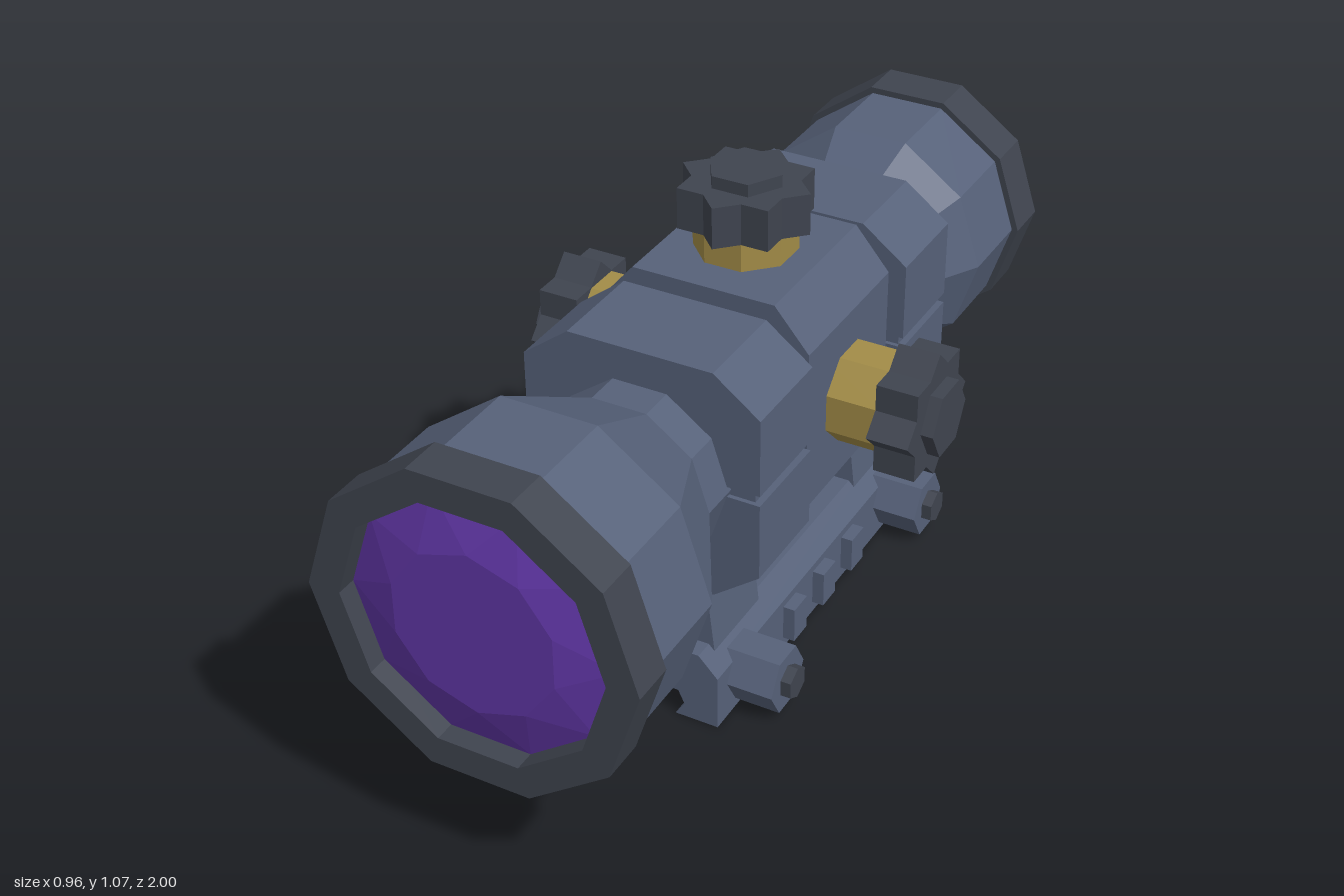
import * as THREE from 'three';
import { ConvexGeometry } from 'three/addons/geometries/ConvexGeometry.js';

const AXIS_Y = 0.595;   // height of the optical axis
const TURRET_Z = -0.08;

export function createModel() {
  const model = new THREE.Group();
  const paint = (name, color) => {
    const m = new THREE.MeshStandardMaterial({ color });
    m.name = name;
    return m;
  };
  const slate = paint('slate blue', 0x566179);
  const dark = paint('dark grey', 0x3f444f);
  const gold = paint('brass', 0xa28c47);
  const purple = paint('purple glass', 0x6036a5);

  // Faceted normals for every part
  function add(name, geometry, material, parent = model) {
    const g = geometry.index ? geometry.toNonIndexed() : geometry;
    g.computeVertexNormals();
    const mesh = new THREE.Mesh(g, material);
    mesh.name = name;
    parent.add(mesh);
    return mesh;
  }

  // Ten-sided turned part along z; profile of [radius, z] with z rising on the outside
  function turned(name, profile, material) {
    const g = new THREE.LatheGeometry(profile.map(p => new THREE.Vector2(...p)), 10, Math.PI / 2);
    g.rotateX(Math.PI / 2);
    add(name, g, material).position.y = AXIS_Y;
  }

  // Cross-section in x, y swept from z0 to z1
  function swept(points, z0, z1) {
    const shape = new THREE.Shape(points.map(p => new THREE.Vector2(...p)));
    return new THREE.ExtrudeGeometry(shape, { depth: z1 - z0, bevelEnabled: false }).translate(0, 0, z0);
  }
  // Completes the right half of a section with its mirror image
  const mirrored = half => [...half, ...half.slice().reverse().map(([x, y]) => [-x, y])];

  // Optical tube with flared ends
  turned('opticalTube', [
    [0.27, -0.92], [0.285, -0.89], [0.285, -0.69], [0.2, -0.54],
    [0.2, 0.45], [0.342, 0.7], [0.342, 0.905], [0.33, 0.92],
  ], slate);
  turned('frontRim', [[0.32, 0.905], [0.36, 0.905], [0.36, 1], [0.29, 1], [0.29, 0.93]], dark);
  turned('rearRim', [[0.235, -0.93], [0.235, -1], [0.3, -1], [0.3, -0.89], [0.26, -0.89]], dark);

  // Faceted domed lenses, inner ring turned by half a step
  function lens(name, radius, zEdge, dir) {
    const points = [];
    [[radius, 0, 0], [radius * 0.63, 0.5, 0.035]].forEach(([r, shift, bulge]) => {
      for (let i = 0; i < 10; i++) {
        const a = (i + shift) * Math.PI / 5;
        points.push(new THREE.Vector3(r * Math.cos(a), r * Math.sin(a), zEdge + dir * bulge));
      }
    });
    add(name, new ConvexGeometry(points), purple).position.y = AXIS_Y;
  }
  lens('frontLens', 0.291, 0.955, 1);
  lens('rearLens', 0.236, -0.95, -1);

  // Turret block in the middle
  add('turretBlock', swept(mirrored([[0.165, -0.285], [0.245, -0.19], [0.245, 0.19], [0.165, 0.285]]),
    -0.27, 0.11), slate).position.y = AXIS_Y;

  // Clamp rings in two halves with a thin seam, each on a leg
  for (const [z0, z1] of [[0.145, 0.37], [-0.527, -0.305]]) {
    const half = mirrored([[0.27, 0.012], [0.27, 0.19], [0.165, 0.27]]);
    add('upperClamp', swept(half, z0, z1), slate).position.y = AXIS_Y;
    add('lowerClamp', swept(half.map(([x, y]) => [x, -y]), z0, z1), slate).position.y = AXIS_Y;
    add('clampSeam', new THREE.BoxGeometry(0.51, 0.05, z1 - z0 - 0.02), slate)
      .position.set(0, AXIS_Y, (z0 + z1) / 2);
    add('mountLeg', swept(mirrored([[0.16, 0.15], [0.138, 0.34]]), z0 + 0.01, z1 - 0.015), slate);
  }

  // Rail base with a dovetail slot underneath, and a ridge between the legs
  add('railBase', swept(mirrored([
    [0.095, 0.065], [0.11, 0.033], [0.088, 0], [0.19, 0], [0.19, 0.13], [0.145, 0.177],
  ]), -0.555, 0.4), slate);
  add('railRidge', new THREE.BoxGeometry(0.2, 0.07, 0.465).translate(0, 0.19, -0.078), slate);

  // Grip lugs on both sides of the rail
  for (const side of [-1, 1]) {
    for (const z of [0.067, -0.077, -0.222]) {
      add('gripLug', new THREE.BoxGeometry(0.045, 0.085, 0.06), slate).position.set(side * 0.195, 0.07, z);
    }
  }

  // Clamp nuts with bolt ends on the left side
  for (const z of [0.283, -0.438]) {
    const hex = (r, x0, x1, turn) => new THREE.CylinderGeometry(r, r, x1 - x0, 6)
      .rotateY(turn).rotateZ(-Math.PI / 2).translate((x0 + x1) / 2, 0.087, z);
    add('clampNut', hex(0.075, 0.17, 0.295, 0), slate);
    add('boltEnd', hex(0.038, 0.28, 0.319, Math.PI / 6), dark);
  }

  // Adjustment turret: brass stem, star knob and hexagonal cap, built along y
  function turret(name) {
    const group = new THREE.Group();
    group.name = name;
    const drum = (r, sides, y0, y1) => new THREE.CylinderGeometry(r, r, y1 - y0, sides)
      .translate(0, (y0 + y1) / 2, 0);
    add('stem', drum(0.112, 8, 0.2, 0.37).rotateY(Math.PI / 8), gold, group);
    const star = [];
    for (let i = 0; i < 16; i++) {
      const r = i % 2 ? 0.114 : 0.149;
      star.push([r * Math.cos(i * Math.PI / 8), r * Math.sin(i * Math.PI / 8)]);
    }
    add('starKnob', swept(star, 0.358, 0.452).rotateX(-Math.PI / 2), dark, group);
    add('knobCap', drum(0.084, 6, 0.44, 0.48), dark, group);
    group.position.set(0, AXIS_Y, TURRET_Z);
    model.add(group);
    return group;
  }
  const top = turret('topTurret');
  top.rotation.y = Math.PI / 2;
  top.position.y -= 0.008;
  turret('leftTurret').rotation.z = -Math.PI / 2;
  turret('rightTurret').rotation.z = Math.PI / 2;

  return model;
}
